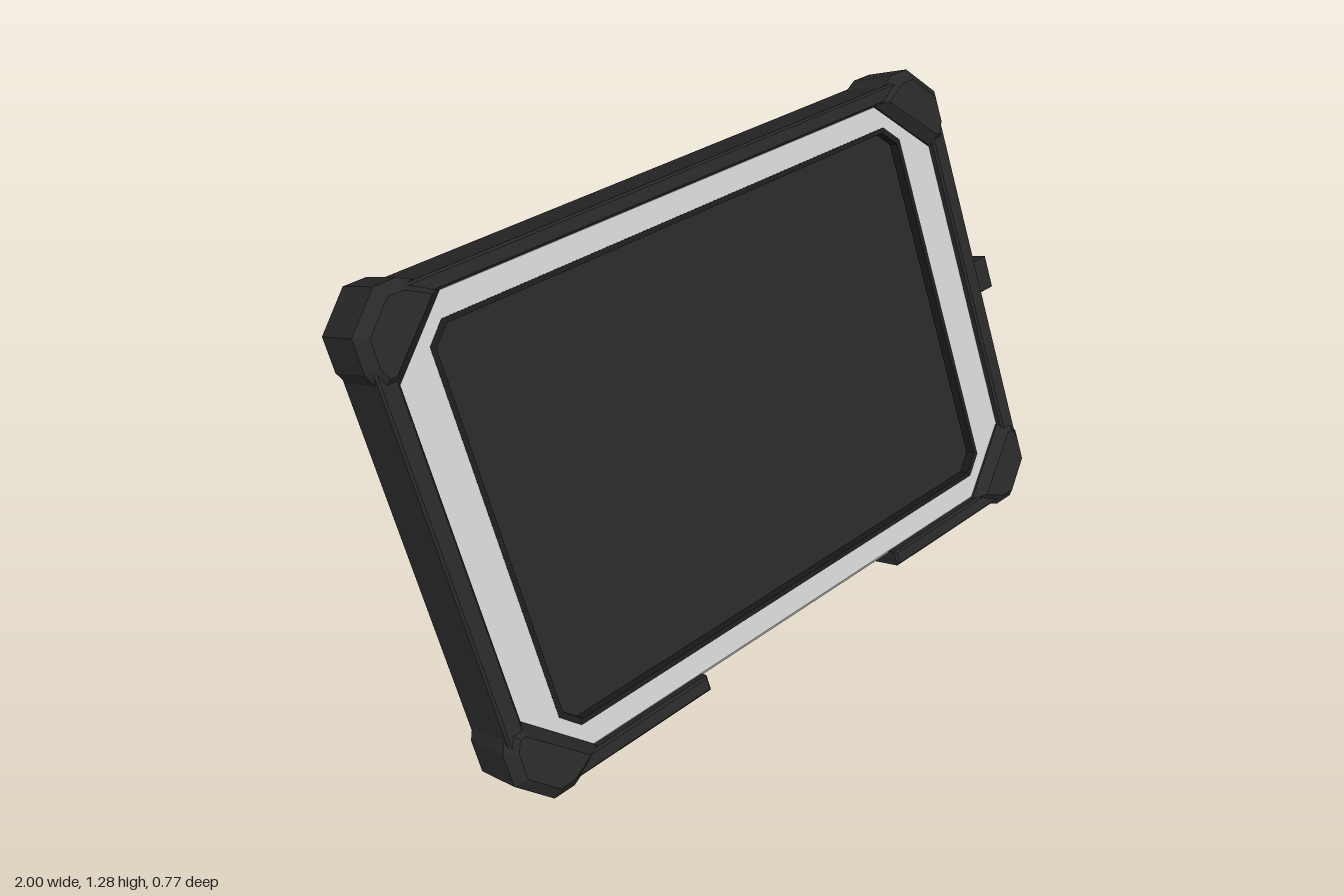
import * as THREE from 'three';

const mat = (name, color) => {
  const m = new THREE.MeshStandardMaterial({ color });
  m.name = name;
  return m;
};

export function createModel() {
  const rubber = mat('dark rubber', 0x282828);
  const shell = mat('light grey shell', 0xcbcdcc);
  const glass = mat('screen glass', 0x272727);
  const rimMat = mat('screen rim', 0x1c1c1c);

  const model = new THREE.Group();
  model.name = 'ruggedTablet';
  const tablet = new THREE.Group();
  tablet.name = 'tablet';
  tablet.position.set(-0.04, 0.64, 0.04);
  tablet.rotation.x = -0.41;
  model.add(tablet);

  const add = (parent, name, geo, material, x = 0, y = 0, z = 0) => {
    const m = new THREE.Mesh(geo, material);
    m.name = name;
    m.position.set(x, y, z);
    parent.add(m);
    return m;
  };
  const shapeOf = (pts, ...holes) => {
    const vec = list => list.map(p => new THREE.Vector2(...p));
    const s = new THREE.Shape(vec(pts));
    s.holes = holes.map(h => new THREE.Path(vec(h)));
    return s;
  };
  // Slab between two depths, with an optional chamfer kept inside the outline
  const slab = (shape, z0, z1, bevel = 0) => {
    const g = new THREE.ExtrudeGeometry(shape, {
      depth: z1 - z0 - 2 * bevel, bevelEnabled: bevel > 0, bevelSize: bevel,
      bevelThickness: bevel, bevelOffset: -bevel, bevelSegments: 1,
    });
    return g.translate(0, 0, z0 + bevel);
  };
  // Rectangle with cut corners
  const octagon = (w, h, c) => [
    [-w + c, -h], [w - c, -h], [w, -h + c], [w, h - c],
    [w - c, h], [-w + c, h], [-w, h - c], [-w, -h + c],
  ];

  // Shell: core, front panel with the screen opening, back plate with stand pocket and grooves
  const outline = octagon(0.91, 0.61, 0.07);
  add(tablet, 'shellCore', slab(shapeOf(outline), -0.045, 0.04), shell);
  add(tablet, 'frontPanel', slab(shapeOf(outline, octagon(0.775, 0.524, 0.046)), 0.034, 0.07, 0.012), shell);
  const grooves = [-1, 1].map(s =>
    octagon(0.024, 0.2, 0.0235).map(([x, y]) => [x + s * 0.752, y - 0.04]));
  add(tablet, 'backPlate', slab(shapeOf([
    [-0.335, -0.61], [-0.335, 0.202], [0.335, 0.202], [0.335, -0.61],
    ...outline.slice(1), outline[0],
  ], ...grooves), -0.07, -0.045), shell);

  // Sunken screen with a dark rim
  add(tablet, 'screenRim',
    slab(shapeOf(octagon(0.787, 0.536, 0.05), octagon(0.773, 0.522, 0.045)), 0.04, 0.071), rimMat);
  add(tablet, 'screen', slab(shapeOf(octagon(0.774, 0.523, 0.045)), 0.036, 0.043), glass);

  // Rubber frame, open at the bottom centre
  const outer = octagon(0.945, 0.645, 0.12);
  const inner = octagon(0.893, 0.602, 0.1);
  add(tablet, 'frame', slab(shapeOf([
    [0.36, -0.645], ...outer.slice(1), outer[0], [-0.36, -0.645],
    [-0.36, -0.602], inner[0], ...inner.slice(1).reverse(), [0.36, -0.602],
  ]), -0.092, 0.092, 0.006), rubber);

  // Corner bumpers
  const corner = [
    [0.96, 0.487], [0.96, 0.575], [0.872, 0.663], [0.81, 0.663],
    [0.765, 0.64], [0.715, 0.605], [0.89, 0.435], [0.935, 0.435],
  ];
  for (const sx of [-1, 1]) {
    for (const sy of [-1, 1]) {
      const pts = corner.map(([x, y]) => [x * sx, y * sy]);
      add(tablet, 'cornerBumper', slab(shapeOf(pts), -0.104, 0.104, 0.028), rubber);
    }
  }

  // Stylus and its holder on the side
  const pen = new THREE.Group();
  pen.name = 'stylus';
  pen.position.set(0.984, 0, 0);
  tablet.add(pen);
  const turned = (r0, r1, h) => {
    const g = new THREE.CylinderGeometry(r0, r1, h, 8).toNonIndexed();
    g.computeVertexNormals();
    return g;
  };
  add(pen, 'stylusBarrel', turned(0.03, 0.03, 0.742), shell, 0, 0.046, 0);
  add(pen, 'stylusEnd', turned(0.015, 0.03, 0.025), shell, 0, 0.4295, 0);
  add(pen, 'stylusTip', turned(0.03, 0.002, 0.105), rubber, 0, -0.3775, 0);
  add(tablet, 'stylusHolder', new THREE.BoxGeometry(0.105, 0.097, 0.086), rubber, 0.9875, 0, 0);

  // Hinge bar at the top of the pocket
  add(tablet, 'hingeBar', new THREE.BoxGeometry(0.66, 0.038, 0.034), rubber, 0, 0.17, -0.06);

  // Folding stand with a rubber foot
  const stand = new THREE.Group();
  stand.name = 'kickstand';
  stand.position.set(-0.04, 0.765, -0.077);
  stand.rotation.x = 0.369;
  model.add(stand);
  add(stand, 'standPlate', new THREE.BoxGeometry(0.66, 0.74, 0.026), shell, 0, -0.37, 0);
  add(stand, 'standFoot', slab(shapeOf([
    [-0.33, -0.738], [-0.33, -0.755], [-0.27, -0.813], [0.27, -0.813], [0.33, -0.755], [0.33, -0.738],
  ]), -0.014, 0.014), rubber);

  return model;
}
